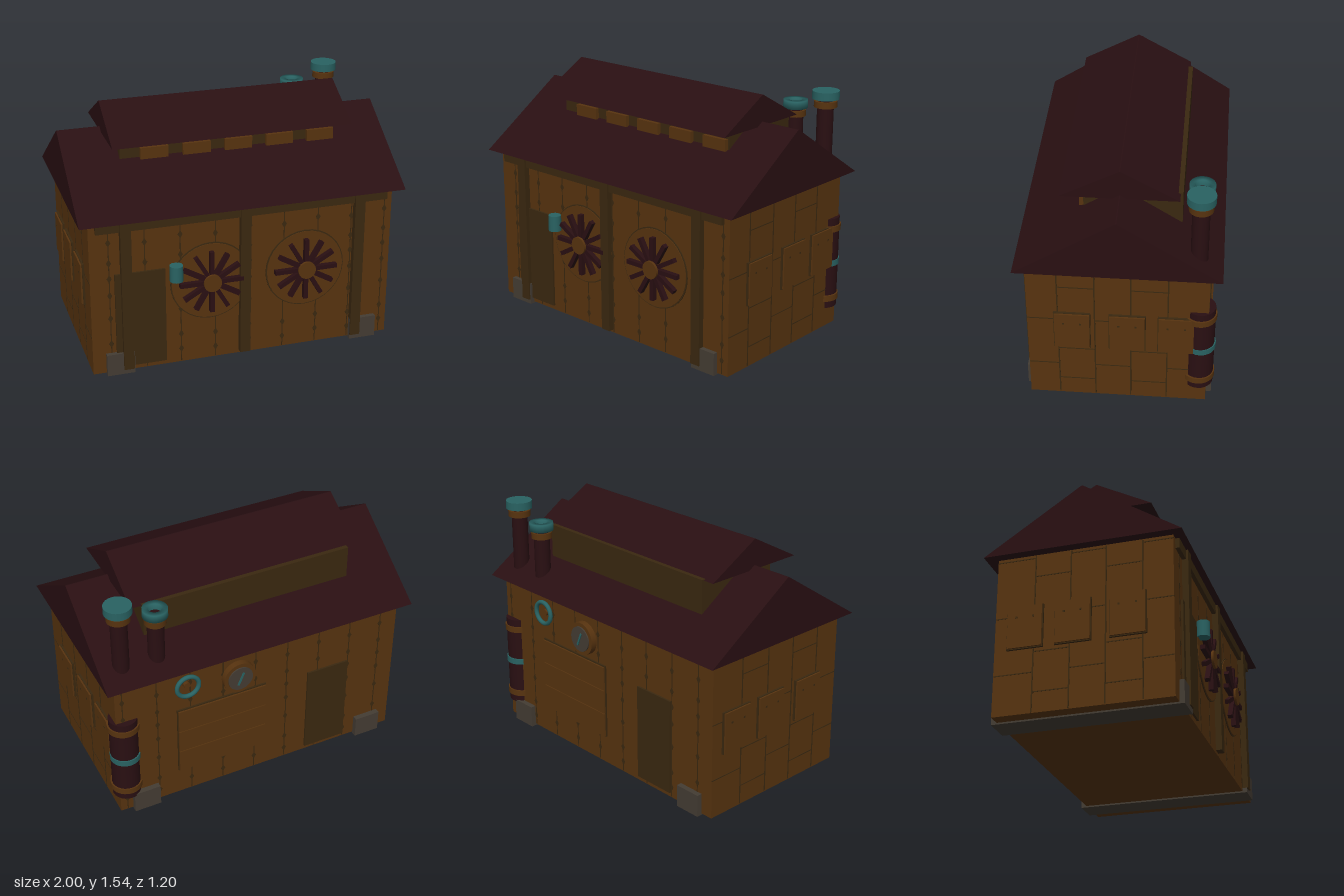
import * as THREE from 'three';

const mat = (name, color) => {
  const m = new THREE.MeshStandardMaterial({ color });
  m.name = name;
  return m;
};

export function createModel() {
  const wall = mat('rust wood', 0x57330f);
  const roofMat = mat('dark maroon', 0x290f12);
  const beam = mat('dark timber', 0x3a2810);
  const teal = mat('aged teal', 0x296262);
  const grey = mat('stone grey', 0x443c33);

  const root = new THREE.Group();
  root.name = 'workshop';
  const add = (name, geo, m, x = 0, y = 0, z = 0, parent = root) => {
    const mesh = new THREE.Mesh(geo, m);
    mesh.name = name;
    mesh.position.set(x, y, z);
    parent.add(mesh);
    return mesh;
  };
  // box given by its limits on each axis
  const box = (name, m, x0, x1, y0, y1, z0, z1, parent = root) =>
    add(name, new THREE.BoxGeometry(x1 - x0, y1 - y0, z1 - z0), m,
      (x0 + x1) / 2, (y0 + y1) / 2, (z0 + z1) / 2, parent);
  const drum = (name, m, r, y0, y1, x, z) =>
    add(name, new THREE.CylinderGeometry(r, r, y1 - y0, 24), m, x, (y0 + y1) / 2, z);
  // round plate facing along z
  const disc = (name, m, r, z0, z1, x, y, parent = root) =>
    add(name, new THREE.CylinderGeometry(r, r, z1 - z0, 32).rotateX(Math.PI / 2), m, x, y, (z0 + z1) / 2, parent);
  // gabled prism running along x
  const gable = (name, halfX, zf, zb, y0, y1) => {
    const s = new THREE.Shape([
      new THREE.Vector2(zb, y0), new THREE.Vector2(zf, y0),
      new THREE.Vector2(0, y1 - 0.005), new THREE.Vector2(-0.006, y1 - 0.005)]);
    const g = new THREE.ExtrudeGeometry(s, { depth: halfX * 2, bevelEnabled: false });
    g.translate(0, 0, -halfX).rotateY(-Math.PI / 2);
    add(name, g, roofMat);
  };

  // Main body and roofs
  box('walls', wall, -0.94, 0.94, 0.01, 0.999, -0.53, 0.525);
  gable('mainRoof', 1, 0.59, -0.6, 0.995, 1.385);
  box('roofMonitor', beam, -0.67, 0.67, 1.1, 1.362, -0.355, 0.21);
  gable('upperRoof', 0.74, 0.34, -0.34, 1.355, 1.545);
  for (let i = 0; i < 5; i++) {
    const x = -0.55 + i * 0.26;
    box('clerestoryWindow', wall, x, x + 0.17, 1.235, 1.305, 0.2, 0.235);
  }

  // Stone footings running front to back
  for (const s of [-1, 1]) {
    add('footing', new THREE.BoxGeometry(0.17, 0.14, 1.118), grey, s * 0.775, 0.07, -0.005);
  }

  // Front timber frame
  box('topBeam', beam, -0.9, 0.9, 0.93, 0.992, 0.5, 0.55);
  for (const x of [-0.727, 0, 0.722]) box('post', beam, x - 0.032, x + 0.032, 0.03, 0.99, 0.5, 0.563);

  // Plank seams with knots, front and back
  const knot = new THREE.CylinderGeometry(0.02, 0.02, 0.004, 4).rotateX(Math.PI / 2).scale(0.75, 1.3, 1);
  for (let i = 0; i < 9; i++) {
    const x = -0.825 + i * 0.215;
    for (const z of [0.525, -0.53]) {
      box('plankSeam', beam, x - 0.003, x + 0.003, 0.015, 0.99, z - 0.002, z + 0.002);
      for (const y of [0.1, 0.2, 0.37, 0.52, 0.63, 0.73, 0.86]) {
        add('knot', knot, beam, x, y - (i % 2) * 0.02, z);
      }
    }
  }

  // Staggered plank seams, panels and bolts on both ends
  const zs = [0.525, 0.345, 0.13, -0.08, -0.295, -0.53];
  for (const s of [-1, 1]) {
    const x = s * 0.94;
    for (let i = 0; i < 5; i++) {
      if (i) box('sideSeam', beam, x - 0.002, x + 0.002, 0.015, 0.99, zs[i] - 0.004, zs[i] + 0.004);
      for (const y of i % 2 ? [0.135, 0.38, 0.855] : [0.255, 0.61, 0.975]) {
        box('sideSeam', beam, x - 0.002, x + 0.002, y - 0.003, y + 0.003, zs[i + 1], zs[i]);
      }
    }
    for (const z of [0.262, -0.06, -0.345]) {
      add('sidePanelEdge', new THREE.BoxGeometry(0.03, 0.266, 0.216), beam, s * 0.938, 0.535, z);
      add('sidePanel', new THREE.BoxGeometry(0.03, 0.256, 0.206), wall, s * 0.948, 0.535, z);
      for (const dz of [-0.05, 0.05]) {
        add('bolt', new THREE.BoxGeometry(0.004, 0.012, 0.012), beam, s * 0.963, 0.595, z + dz);
      }
    }
  }

  // Front and back doors
  box('frontDoor', beam, -0.795, -0.49, 0.04, 0.655, 0.5, 0.538);
  box('backDoor', beam, -0.605, -0.325, 0.04, 0.645, -0.542, -0.5);

  // Front fans
  for (const x of [-0.21, 0.385]) {
    const fan = new THREE.Group();
    fan.name = 'fan';
    fan.position.set(x, 0.535, 0);
    root.add(fan);
    disc('fanRim', beam, 0.25, 0.52, 0.531, 0, 0, fan);
    disc('fanPlate', wall, 0.243, 0.52, 0.535, 0, 0, fan);
    disc('fanHub', wall, 0.055, 0.53, 0.58, 0, 0, fan);
    for (let i = 0; i < 12; i++) {
      const a = i * Math.PI / 6;
      const blade = add('fanBlade', new THREE.BoxGeometry(0.15, 0.027, 0.035), roofMat,
        Math.cos(a) * 0.122, Math.sin(a) * 0.122, 0.548, fan);
      blade.rotation.z = a;
    }
  }

  // Lantern beside the front door
  drum('lantern', teal, 0.04, 0.58, 0.68, -0.43, 0.562);

  // Roof chimneys: tall one capped, short one open
  drum('tallChimney', roofMat, 0.05, 1.0, 1.46, 0.86, -0.46);
  drum('tallChimneyBand', wall, 0.07, 1.402, 1.44, 0.86, -0.46);
  drum('tallChimneyCap', teal, 0.082, 1.453, 1.502, 0.86, -0.46);
  drum('shortChimney', roofMat, 0.05, 1.0, 1.37, 0.64, -0.46);
  drum('shortChimneyBand', wall, 0.065, 1.31, 1.348, 0.64, -0.46);
  const ringProfile = [[0.04, 1.36], [0.075, 1.36], [0.075, 1.41], [0.04, 1.41], [0.04, 1.36]];
  add('shortChimneyCap', new THREE.LatheGeometry(
    ringProfile.map(([r, y]) => new THREE.Vector2(r, y)), 24), teal, 0.64, 0, -0.46);

  // Corner boiler pipe
  drum('boilerPipe', roofMat, 0.087, 0.13, 0.715, 0.878, -0.483);
  for (const y of [0.195, 0.65]) drum('boilerBand', wall, 0.098, y - 0.019, y + 0.019, 0.877, -0.48);
  drum('boilerTealBand', teal, 0.092, 0.405, 0.442, 0.877, -0.486);

  // Slatted panel on the back
  box('backPanelEdge', beam, -0.035, 0.555, 0.195, 0.675, -0.54, -0.5);
  for (let i = 0; i < 3; i++) {
    const y = 0.2 + i * 0.157;
    box('backPanelSlat', wall, -0.03, 0.55, y, y + 0.152, -0.55, -0.5);
  }

  // Gauge and valve ring on the back
  disc('gaugeBody', wall, 0.105, -0.568, -0.52, 0.155, 0.805);
  disc('gaugeFace', grey, 0.08, -0.576, -0.56, 0.155, 0.805);
  add('gaugeNeedle', new THREE.BoxGeometry(0.012, 0.09, 0.008), teal, 0.155, 0.805, -0.578).rotation.z = 0.4;
  add('valveRing', new THREE.TorusGeometry(0.07, 0.014, 8, 28), teal, 0.5, 0.875, -0.578);
  disc('valveStem', wall, 0.02, -0.57, -0.52, 0.5, 0.875);

  return root;
}
